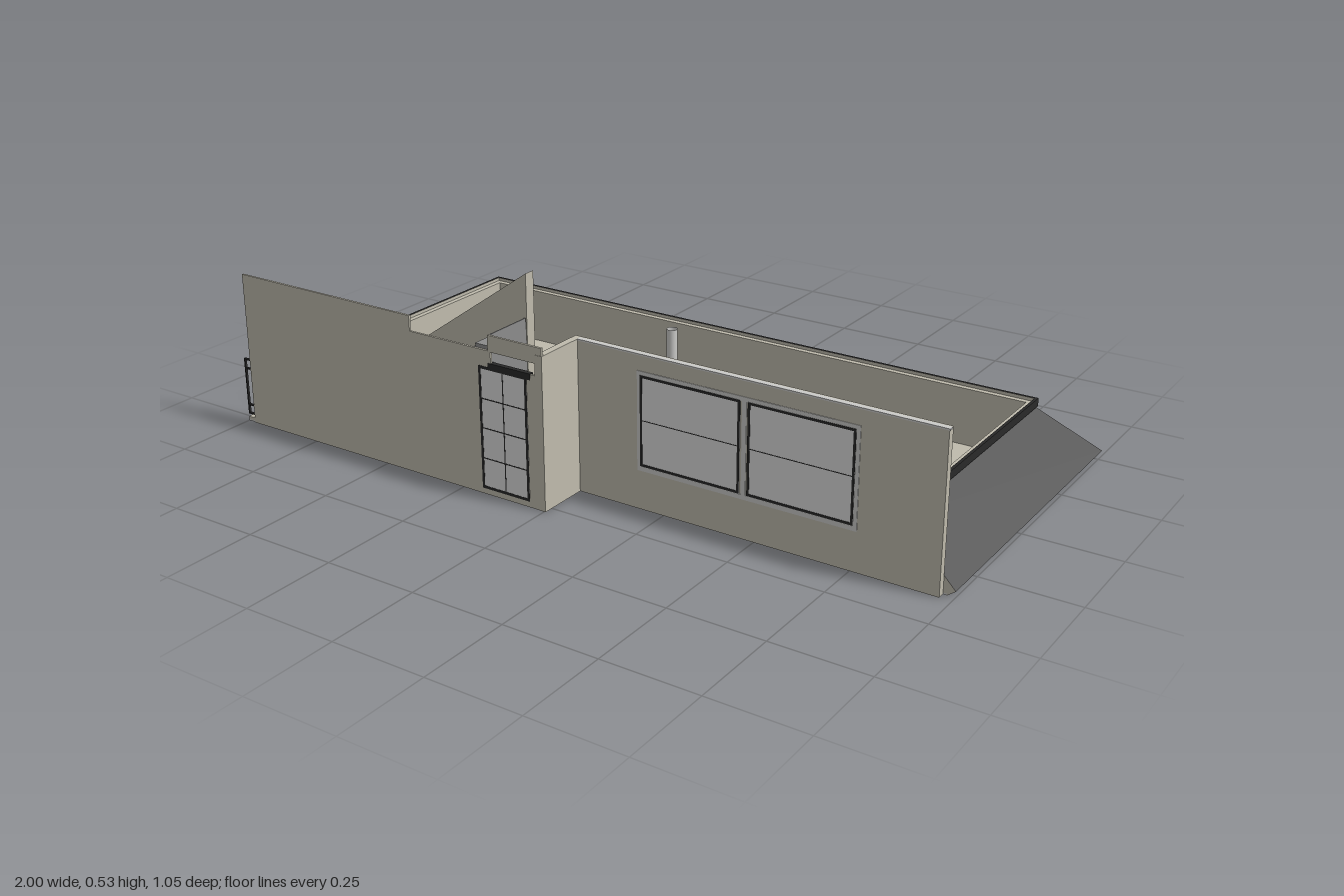
import * as THREE from 'three';

const mat = (name, color, side = THREE.FrontSide) => {
  const m = new THREE.MeshStandardMaterial({ color, side });
  m.name = name;
  return m;
};

export function createModel() {
  const root = new THREE.Group();
  const plaster = mat('plaster', 0xbfbbad, THREE.DoubleSide);
  const roof = mat('roof', 0x555555, THREE.DoubleSide);
  const dark = mat('dark metal', 0x292929, THREE.DoubleSide);
  const concrete = mat('concrete', 0x8c8c8c);
  const glass = mat('glass', 0xdedede);
  const trim = mat('trim', 0xcbcbc9, THREE.DoubleSide);

  const add = (parent, name, geo, m) => {
    const mesh = new THREE.Mesh(geo, m);
    mesh.name = name;
    parent.add(mesh);
    return mesh;
  };
  // Box given by its lower and upper limits
  const box = (name, x0, x1, y0, y1, z0, z1, m, parent = root) => {
    const b = add(parent, name, new THREE.BoxGeometry(x1 - x0, y1 - y0, z1 - z0), m);
    b.position.set((x0 + x1) / 2, (y0 + y1) / 2, (z0 + z1) / 2);
    return b;
  };
  const group = (name) => {
    const g = new THREE.Group();
    g.name = name;
    root.add(g);
    return g;
  };
  const outline = (pts) => new THREE.Shape(pts.map(([x, y]) => new THREE.Vector2(x, y)));
  const extrude = (shape, depth) => new THREE.ExtrudeGeometry(shape, { depth, bevelEnabled: false });
  // Rectangular frame of bars, with optional inner uprights and crossbars
  const frame = (name, x0, x1, y0, y1, z0, z1, t, m, uprights = 0, cross = 0) => {
    const g = group(name);
    for (let i = 0; i <= uprights + 1; i++) {
      const x = x0 + ((x1 - x0 - t) * i) / (uprights + 1);
      box('upright', x, x + t, y0, y1, z0, z1, m, g);
    }
    for (let i = 0; i <= cross + 1; i++) {
      const y = y0 + ((y1 - y0 - t) * i) / (cross + 1);
      box('crossbar', x0, x1, y, y + t, z0, z1, m, g);
    }
  };

  // Floor slab with a light grey underside
  const plan = outline([[-1, -0.522], [0, -0.522], [0, -0.365], [0.98, -0.365], [0.98, 0.505], [-0.98, 0.505], [-0.98, -0.38], [-1, -0.38]]);
  const floor = add(root, 'floor', extrude(plan, 0.008), plaster);
  floor.rotation.x = -Math.PI / 2;
  floor.position.y = 0.004;
  const underside = add(root, 'floorUnderside', extrude(plan, 0.004), trim);
  underside.rotation.x = -Math.PI / 2;

  // Bands running round the left, back and right sides, inset d at height y
  const band = (name, d0, y0, d1, y1, m) => {
    const ring = (d, y) => [[-1 + d, y, 0.38], [-1 + d, y, -0.525 + d], [1 - d, y, -0.525 + d], [1 - d, y, 0.365]];
    const a = ring(d0, y0), b = ring(d1, y1), pos = [];
    for (let i = 0; i < 3; i++) pos.push(...a[i], ...b[i + 1], ...a[i + 1], ...a[i], ...b[i], ...b[i + 1]);
    const geo = new THREE.BufferGeometry();
    geo.setAttribute('position', new THREE.Float32BufferAttribute(pos, 3));
    geo.computeVertexNormals();
    add(root, name, geo, m);
  };
  band('eavesLip', 0.02, 0, 0, 0.015, trim);
  band('slopedRoof', 0, 0.015, 0.138, 0.155, roof);
  band('ridgeSoffit', 0.138, 0.155, 0.132, 0.155, dark);
  band('ridgeBand', 0.132, 0.155, 0.132, 0.177, dark);
  band('ridgeTop', 0.132, 0.177, 0.14, 0.177, dark);
  band('wallStep', 0.14, 0.177, 0.14, 0.168, plaster);
  band('wallTop', 0.14, 0.168, 0.155, 0.168, plaster);
  band('lowWallInside', 0.155, 0.168, 0.155, 0.008, plaster);
  // End caps of the sloped sides
  for (const [s, z] of [[1, 0.365], [-1, 0.38]]) {
    const pts = [[0.98, 0], [1, 0.015], [0.865, 0.155], [0.868, 0.177], [0.86, 0.177], [0.845, 0.168], [0.845, 0]];
    add(root, 'roofEnd', new THREE.ShapeGeometry(outline(pts.map(([x, y]) => [x * s, y]))), plaster).position.z = z;
  }

  // Front wall beside the stairs, with a gap over the door
  const front = outline([[-0.976, 0], [0.003, 0], [0.003, 0.42], [-0.158, 0.42], [-0.158, 0.38], [-0.402, 0.38], [-0.402, 0.42], [-0.976, 0.42]]);
  front.holes.push(new THREE.Path([[-0.15, 0.347], [-0.018, 0.347], [-0.018, 0.378], [-0.15, 0.378]].map(([x, y]) => new THREE.Vector2(x, y))));
  add(root, 'frontWall', extrude(front, 0.006), plaster).position.z = 0.518;
  box('returnWall', -0.015, 0.004, 0, 0.4, 0.365, 0.525, plaster);
  box('windowWall', 0, 0.97, 0, 0.4, 0.365, 0.384, plaster);
  box('wallCoping', 0.004, 0.972, 0.397, 0.401, 0.372, 0.386, trim);

  // Two windows in one surround
  frame('windowSurround', 0.176, 0.764, 0.102, 0.358, 0.3638, 0.3855, 0.012, trim, 1);
  for (const x of [0.185, 0.48]) {
    box('windowPane', x, x + 0.274, 0.115, 0.348, 0.3635, 0.386, glass);
    frame('windowFrame', x, x + 0.274, 0.115, 0.348, 0.363, 0.387, 0.006, dark);
    box('windowBar', x, x + 0.274, 0.2325, 0.2345, 0.3632, 0.3865, dark);
  }

  // Front door
  box('doorPane', -0.188, -0.043, 0.015, 0.338, 0.5165, 0.5244, glass);
  frame('doorFrame', -0.188, -0.043, 0.015, 0.338, 0.516, 0.525, 0.007, dark);
  box('doorCentreBar', -0.117, -0.114, 0.015, 0.338, 0.5162, 0.5247, dark);
  for (const y of [0.095, 0.175, 0.252]) box('doorCrossBar', -0.188, -0.043, y, y + 0.003, 0.5162, 0.5247, dark);
  box('doorHead', -0.158, -0.032, 0.333, 0.349, 0.512, 0.525, dark);

  // Staircase
  const stairs = group('stairs'), steps = 12, run = 0.535 / steps;
  for (let i = 0; i < steps; i++) {
    const x = -0.69 + i * run;
    box('step', x, x + run, 0.008, (0.39 * (i + 1)) / steps, 0.37, 0.518, concrete, stairs);
  }
  box('stairBack', -0.157, -0.154, 0.3, 0.42, 0.38, 0.518, concrete, stairs);
  const side = outline([[-0.69, 0.008], [-0.153, 0.008], [-0.153, 0.533], [-0.69, 0.157]]);
  add(stairs, 'stairSideWall', extrude(side, 0.03), plaster).position.z = 0.347;

  // Wall lanterns
  for (const [x, z] of [[0.075, 0.342], [0.86, 0.342], [-0.345, 0.494]]) {
    const g = group('lantern');
    g.position.set(x, 0.23, z);
    box('lanternGlass', -0.021, 0.021, 0.003, 0.112, -0.021, 0.021, glass, g);
    box('lanternCap', -0.023, 0.023, 0.111, 0.116, -0.023, 0.023, dark, g);
    box('lanternBase', -0.023, 0.023, 0, 0.004, -0.023, 0.023, dark, g);
    box('lanternBand', -0.022, 0.022, 0.055, 0.058, -0.022, 0.022, dark, g);
    for (const sx of [-1, 1]) for (const sz of [-1, 1]) {
      const p = box('lanternPost', -0.0025, 0.0025, 0, 0.112, -0.0025, 0.0025, dark, g);
      p.position.x = sx * 0.0205;
      p.position.z = sz * 0.0205;
    }
    box('lanternCentreBar', -0.0015, 0.0015, 0, 0.112, -0.022, 0.022, dark, g);
    box('lanternSideBar', -0.022, 0.022, 0, 0.112, -0.0015, 0.0015, dark, g);
  }

  // Small railing and end bracket
  frame('railing', -0.985, -0.87, 0.02, 0.17, 0.381, 0.386, 0.005, dark, 2, 1);
  frame('endBracket', -1, -0.974, 0.02, 0.18, 0.516, 0.522, 0.004, dark);
  for (const y of [0.045, 0.15]) box('bracketBar', -1, -0.974, y, y + 0.004, 0.516, 0.522, dark);

  // Counter and post
  box('counterBase', 0.555, 0.672, 0.008, 0.12, -0.185, 0.175, plaster);
  box('counterTop', 0.537, 0.69, 0.12, 0.135, -0.203, 0.195, dark);
  add(root, 'post', new THREE.CylinderGeometry(0.014, 0.014, 0.3, 20, 1, true), trim).position.set(0.015, 0.157, -0.01);

  return root;
}
